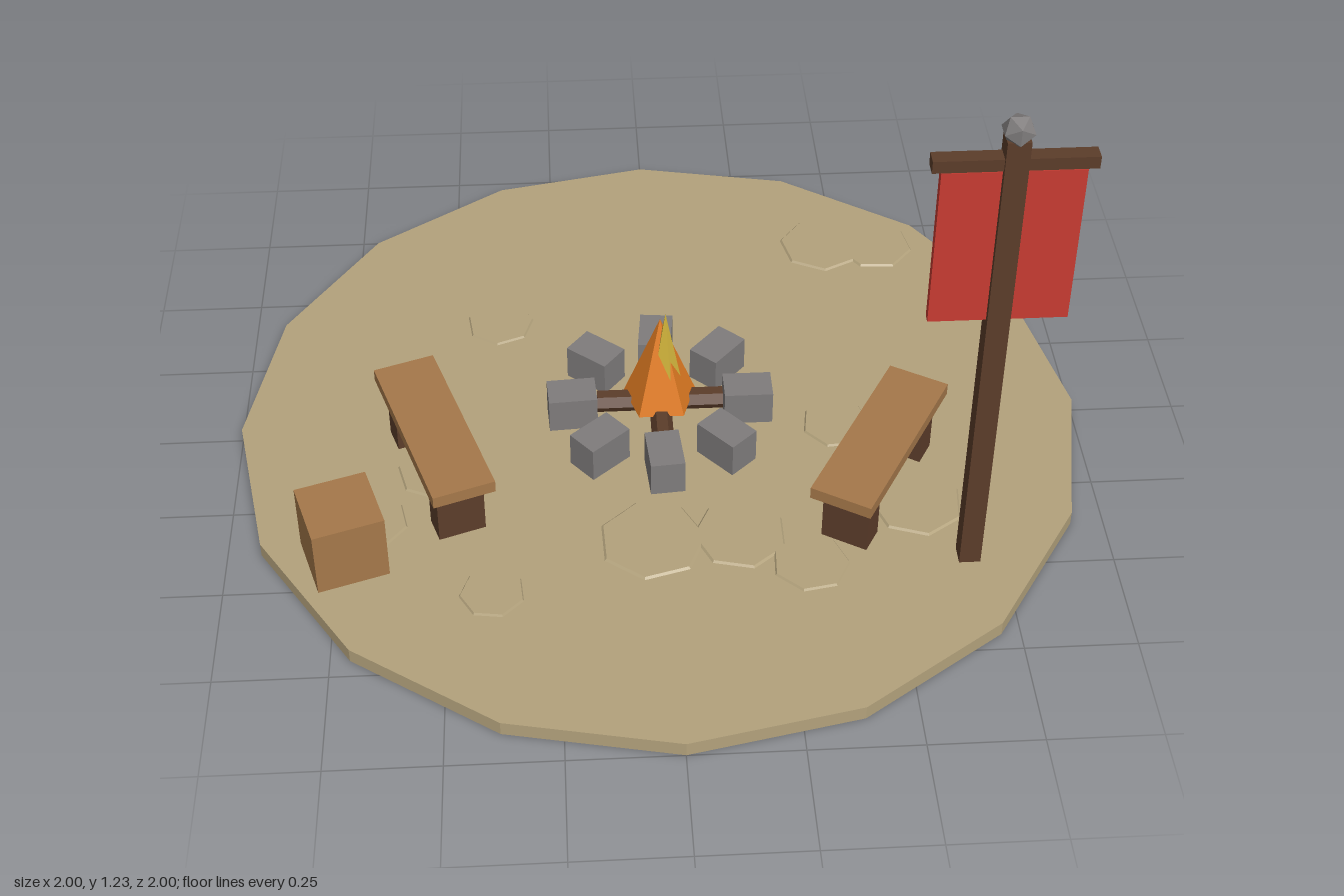
import * as THREE from 'three';

const mat = (name, color) => {
  const m = new THREE.MeshStandardMaterial({ color, flatShading: true });
  m.name = name;
  return m;
};

export function createModel() {
  const sand = mat('sand', 0xb3a27c);
  const wood = mat('wood', 0xa5784a);
  const darkWood = mat('dark wood', 0x5c3d2a);
  const stone = mat('stone', 0x7f7c7c);
  const orange = mat('orange flame', 0xe07b22);
  const yellow = mat('yellow flame', 0xd2b43c);
  const red = mat('red cloth', 0xc83c32);

  const root = new THREE.Group();
  root.name = 'campsite';
  const TOP = 0.035; // height of the ground surface

  const add = (parent, name, geometry, material, x, y, z, ry = 0) => {
    const m = new THREE.Mesh(geometry, material);
    m.name = name;
    m.position.set(x, y, z);
    m.rotation.y = ry;
    parent.add(m);
    return m;
  };
  const group = (name, x = 0, z = 0, ry = 0) => {
    const g = new THREE.Group();
    g.name = name;
    g.position.set(x, 0, z);
    g.rotation.y = ry;
    root.add(g);
    return g;
  };
  const box = (w, h, d) => new THREE.BoxGeometry(w, h, d);

  // Ground disc with low raised patches
  add(root, 'ground', new THREE.CylinderGeometry(1, 1, TOP, 16), sand, 0, TOP / 2, 0);
  const patches = [
    [0.46, -0.635, 0.11], [0.6, -0.627, 0.1], [-0.384, -0.36, 0.085],
    [-0.4, 0.56, 0.075], [-0.04, 0.417, 0.125], [0.16, 0.41, 0.11],
    [0.31, 0.506, 0.09], [0.573, 0.33, 0.11], [0.42, 0.056, 0.085],
    [-0.53, 0.167, 0.095], [-0.675, 0.327, 0.085],
  ];
  patches.forEach(([x, z, r], i) => {
    add(root, 'groundPatch', new THREE.CylinderGeometry(r * 0.95, r, 0.006, 7), sand,
      x, TOP + 0.002, z, i * 1.3);
  });

  // Fire: ring of stones, crossed logs, two flames
  const fire = group('campfire');
  for (let i = 0; i < 8; i++) {
    const a = (i * Math.PI) / 4;
    add(fire, 'ringStone', box(0.115, 0.09, 0.08), stone,
      Math.cos(a) * 0.21, TOP + 0.043, -Math.sin(a) * 0.21, a + [0, 0.05, -0.1, 0.1, 0.06, -0.08, 0.08, -0.05][i]);
  }
  for (const ry of [0, Math.PI / 2]) {
    const log = add(fire, 'log', new THREE.CylinderGeometry(0.026, 0.026, 0.3, 6), darkWood, 0, 0.085, 0, ry);
    log.rotation.order = 'YXZ';
    log.rotation.z = Math.PI / 2;
  }
  add(fire, 'outerFlame', new THREE.ConeGeometry(0.09, 0.24, 5), orange, 0, 0.215, 0, Math.PI);
  add(fire, 'innerFlame', new THREE.ConeGeometry(0.045, 0.24, 5), yellow, 0.012, 0.242, 0.014, 0.3);

  // Benches
  for (const [x, z, ry] of [[-0.53, 0.19, 0.33], [0.488, 0.28, -0.527]]) {
    const bench = group('bench', x, z, ry);
    add(bench, 'seat', box(0.145, 0.03, 0.46), wood, 0, 0.19, 0);
    for (const s of [-1, 1]) add(bench, 'leg', box(0.11, 0.145, 0.065), darkWood, 0, 0.1045, s * 0.16);
  }

  // Crate
  add(root, 'crate', box(0.163, 0.167, 0.163), wood, -0.73, TOP + 0.082, 0.435, 0.31);

  // Banner on a pole
  const flag = group('banner', 0.665, 0.5);
  add(flag, 'pole', box(0.048, 1.185, 0.046), darkWood, 0, 0.592, 0);
  add(flag, 'crossbar', box(0.33, 0.028, 0.034), darkWood, 0, 1.128, 0);
  add(flag, 'cloth', box(0.29, 0.375, 0.02), red, 0, 0.92, 0);
  add(flag, 'finial', new THREE.IcosahedronGeometry(0.036, 0), stone, 0, 1.2, 0);

  return root;
}
